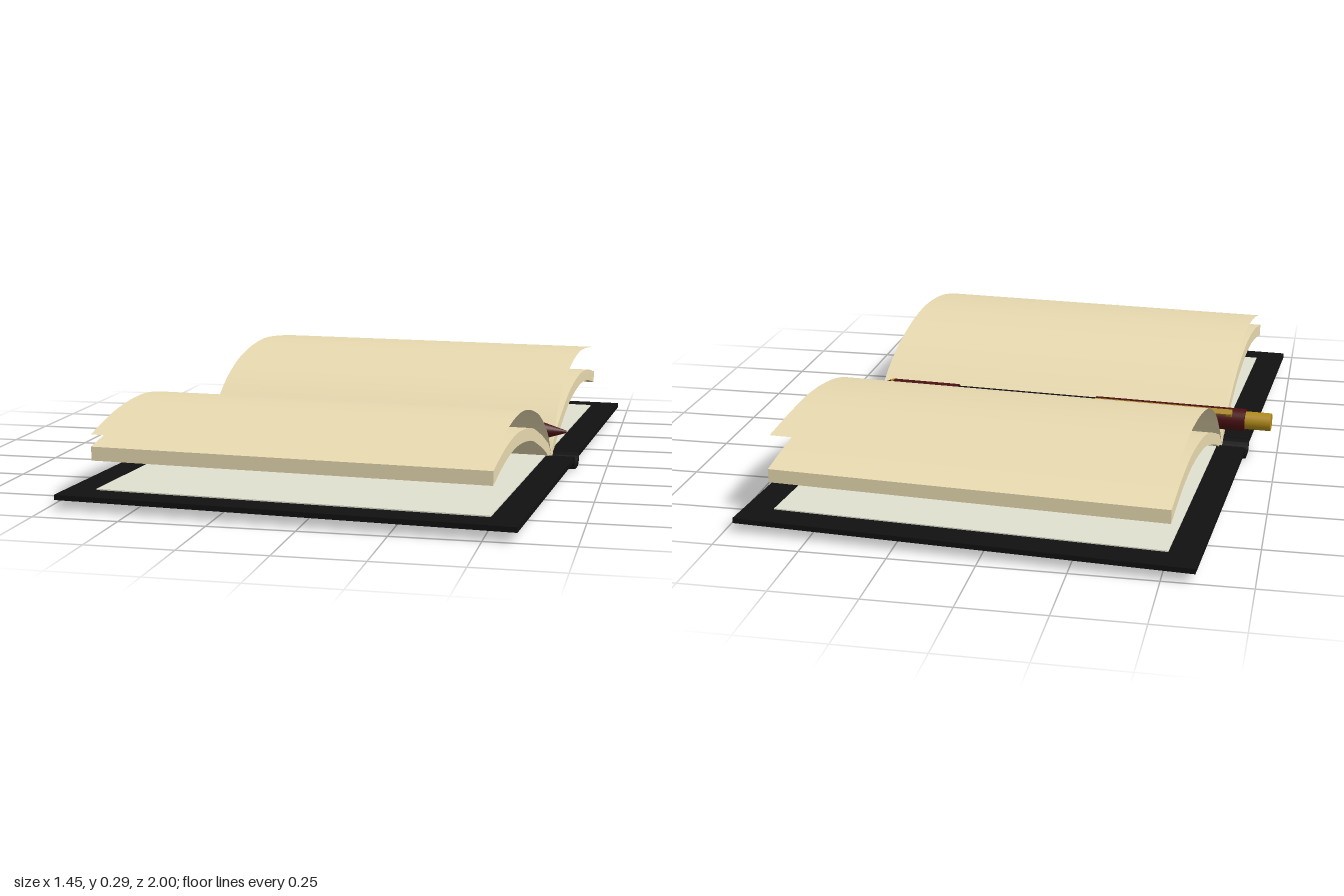
import * as THREE from 'three';
import { toCreasedNormals } from 'three/addons/utils/BufferGeometryUtils.js';

const mat = (color, side = THREE.FrontSide) => new THREE.MeshStandardMaterial({ color, side });
const vecs = (pts, s = 1) => pts.map(([z, y]) => new THREE.Vector2(s * z, y));

export function createModel() {
  const book = new THREE.Group();
  book.name = 'openBook';

  const black = mat(0x111111);
  const cream = mat(0xe8dab0);
  const sheetCream = mat(0xe8dab0, THREE.DoubleSide);
  const lining = mat(0xe0e0d0);
  const maroon = mat(0x4a1012);
  const gold = mat(0xb08a18);

  const add = (parent, name, geometry, material, x = 0, y = 0, z = 0) => {
    const mesh = new THREE.Mesh(geometry, material);
    mesh.name = name;
    mesh.position.set(x, y, z);
    parent.add(mesh);
    return mesh;
  };

  // Extrudes a (z, y) cross-section along x, centred
  const extrudeX = (shape, width) => {
    const g = new THREE.ExtrudeGeometry(shape, { depth: width, bevelEnabled: false, curveSegments: 32 });
    g.translate(0, 0, -width / 2);
    g.rotateY(-Math.PI / 2);
    return toCreasedNormals(g, 0.5);
  };

  // Spine: a rounded trough between the two covers
  const spine = new THREE.Shape();
  spine.moveTo(-0.055, 0.043);
  spine.quadraticCurveTo(-0.045, 0, -0.02, 0);
  spine.lineTo(0.02, 0);
  spine.quadraticCurveTo(0.045, 0, 0.055, 0.043);
  spine.lineTo(0.04, 0.043);
  spine.quadraticCurveTo(0.032, 0.013, 0.015, 0.013);
  spine.lineTo(-0.015, 0.013);
  spine.quadraticCurveTo(-0.032, 0.013, -0.04, 0.043);
  spine.closePath();
  add(book, 'spine', extrudeX(spine, 1.318), black);

  // Cross-sections from the spine out to the page edge, as (distance, height)
  const blockTop = [[0, 0.035], [0.04, 0.075], [0.1, 0.103], [0.2, 0.142], [0.35, 0.187], [0.55, 0.21], [0.72, 0.2], [0.88, 0.17]];
  const blockBottom = [[0.88, 0.13], [0.72, 0.162], [0.55, 0.172], [0.35, 0.149], [0.2, 0.104], [0.1, 0.066], [0.05, 0.042], [0, 0.013]];
  const frontSheet = [[0, 0.035], [0.03, 0.08], [0.07, 0.12], [0.15, 0.17], [0.25, 0.213], [0.4, 0.25], [0.55, 0.262], [0.72, 0.245], [0.88, 0.205]];
  const backSheet = [[0, 0.035], [0.03, 0.08], [0.06, 0.11], [0.12, 0.165], [0.2, 0.215], [0.3, 0.255], [0.42, 0.28], [0.56, 0.29], [0.7, 0.281], [0.855, 0.263]];
  const pageWidth = 1.155;

  for (const [side, s, profile] of [['front', 1, frontSheet], ['back', -1, backSheet]]) {
    // Cover board and its paper lining
    add(book, side + 'Cover', new THREE.BoxGeometry(1.318, 0.015, 0.91), black, 0, 0.0355, s * 0.502);
    add(book, side + 'Lining', new THREE.BoxGeometry(1.14, 0.004, 0.81), lining, 0, 0.0445, s * 0.465);

    // Curved block of pages
    const shape = new THREE.Shape();
    const top = vecs(blockTop, s), bottom = vecs(blockBottom, s);
    shape.moveTo(top[0].x, top[0].y);
    shape.splineThru(top.slice(1));
    shape.lineTo(bottom[0].x, bottom[0].y);
    shape.splineThru(bottom.slice(1));
    shape.closePath();
    add(book, side + 'PageBlock', extrudeX(shape, pageWidth), cream);

    // Single lifted sheet: a plane bent along its curve
    const curve = new THREE.SplineCurve(vecs(profile));
    const g = new THREE.PlaneGeometry(pageWidth, 1, 1, 40);
    const { position, uv } = g.attributes;
    for (let i = 0; i < position.count; i++) {
      const v = uv.getY(i);
      const p = curve.getPoint(s < 0 ? v : 1 - v);
      position.setXYZ(i, position.getX(i), p.y, s * p.x);
    }
    g.computeVertexNormals();
    add(book, side + 'LooseSheet', g, sheetCream);
  }

  // Pen lying in the gutter, along x
  const pen = new THREE.Group();
  pen.name = 'pen';
  pen.position.set(0, 0.115, 0.012);
  const section = (name, x0, x1, r0, r1, material) => {
    const g = new THREE.CylinderGeometry(r1, r0, x1 - x0, 32);
    g.rotateZ(-Math.PI / 2);
    add(pen, name, g, material, (x0 + x1) / 2);
  };
  section('penEnd', -0.73, -0.65, 0.028, 0.028, gold);
  section('penUpperBarrel', -0.65, -0.165, 0.035, 0.035, maroon);
  section('penMiddle', -0.165, 0.3, 0.031, 0.031, black);
  section('penGrip', 0.3, 0.52, 0.036, 0.036, maroon);
  section('penRing', 0.52, 0.528, 0.037, 0.036, gold);
  section('penTip', 0.528, 0.626, 0.034, 0.004, maroon);

  // Clip on the upper back of the barrel, with its foot
  const clip = new THREE.Group();
  clip.name = 'penClip';
  clip.rotation.x = -Math.PI / 4;
  add(clip, 'clipBar', new THREE.BoxGeometry(0.44, 0.006, 0.018), gold, -0.39, 0.047, 0);
  add(clip, 'clipFoot', new THREE.BoxGeometry(0.02, 0.02, 0.018), gold, -0.6, 0.038, 0);
  pen.add(clip);
  book.add(pen);

  // The book lies slightly turned
  book.rotation.y = -0.068;
  const model = new THREE.Group();
  model.name = 'bookWithPen';
  model.add(book);
  return model;
}
